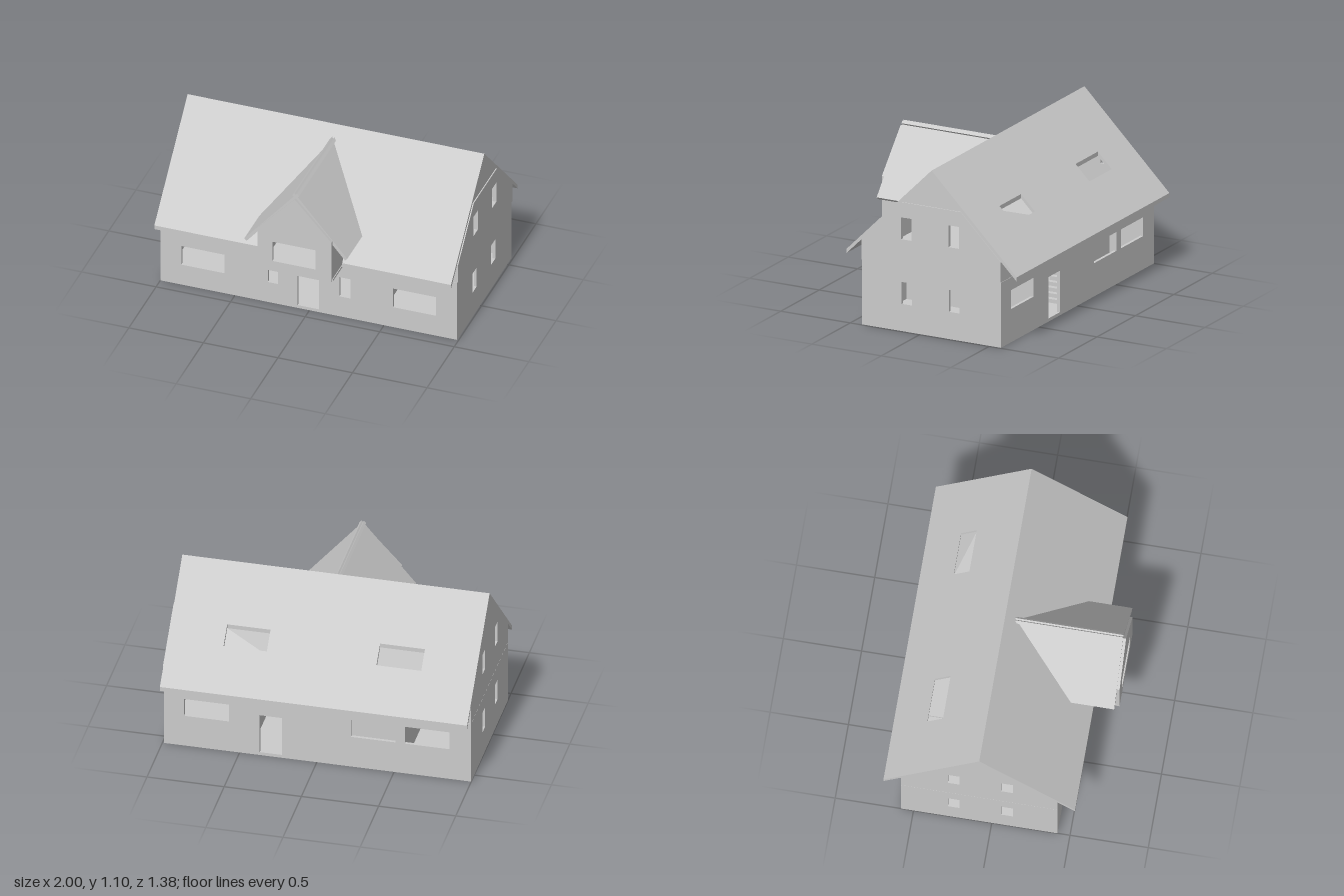
import * as THREE from 'three';

const grey = new THREE.MeshStandardMaterial({ color: 0xcccccc, flatShading: true });
const thinGrey = new THREE.MeshStandardMaterial({ color: 0xcccccc, flatShading: true, side: THREE.DoubleSide });

const T = 0.02;                                   // wall thickness
const X0 = -1, X1 = 0.99, ZF = 0.42, ZB = -0.58;  // outer walls
const RIDGE_Y = 1.095, RIDGE_Z = -0.08, ROOF_T = 0.028;

const rect = (x0, x1, y0, y1) => [[x0, y0], [x1, y0], [x1, y1], [x0, y1]];
const toPoints = (list) => list.map(([x, y]) => new THREE.Vector2(x, y));

// Flat slab: outline with holes, extruded along +z
function slab(outline, holes, depth) {
  const shape = new THREE.Shape(toPoints(outline));
  holes.forEach((h) => shape.holes.push(new THREE.Path(toPoints(h))));
  return new THREE.ExtrudeGeometry(shape, { depth, bevelEnabled: false });
}

// Move every vertex of a geometry by a rule
function remap(geometry, rule) {
  const p = geometry.attributes.position;
  for (let i = 0; i < p.count; i++) p.setXYZ(i, ...rule(p.getX(i), p.getY(i), p.getZ(i)));
  geometry.computeVertexNormals();
  return geometry;
}

export function createModel() {
  const house = new THREE.Group();
  house.name = 'house';

  function add(name, geometry, x = 0, y = 0, z = 0, material = grey) {
    const mesh = new THREE.Mesh(geometry, material);
    mesh.name = name;
    mesh.position.set(x, y, z);
    house.add(mesh);
  }
  function box(name, x0, x1, y0, y1, z0, z1) {
    add(name, new THREE.BoxGeometry(x1 - x0, y1 - y0, z1 - z0), (x0 + x1) / 2, (y0 + y1) / 2, (z0 + z1) / 2);
  }
  // Wall along x, its back at z
  const wallX = (name, outline, holes, z) => add(name, slab(outline, holes, T), 0, 0, z);
  // Wall along z, outline given as (z, y), its +x face at x
  const wallZ = (name, outline, holes, x, depth = T) =>
    add(name, slab(outline, holes, depth).rotateY(-Math.PI / 2), x);

  // Ground floor
  box('groundSlab', X0, X1, 0, T, ZB, ZF);
  wallX('frontWall', rect(X0, X1, T, 0.43), [
    rect(-0.86, -0.57, 0.15, 0.29), rect(0.56, 0.85, 0.15, 0.29),
    rect(-0.28, -0.21, 0.15, 0.295), rect(0.2, 0.275, 0.15, 0.295),
    rect(-0.08, 0.065, 0.021, 0.295),
  ], ZF - T);
  wallX('backWall', rect(X0, X1, T, 0.43), [
    rect(0.57, 0.86, 0.22, 0.345), rect(0.225, 0.37, 0.021, 0.295),
    rect(-0.51, -0.22, 0.22, 0.345), rect(-0.86, -0.57, 0.22, 0.345),
  ], ZB);
  const sideWindows = (y0, y1) => [rect(0.06, 0.135, y0, y1), rect(-0.28, -0.205, y0, y1)];
  for (const [name, x] of [['leftWall', X1], ['rightWall', X0 + T]]) {
    wallZ(name, rect(ZB + T, ZF - T, T, 0.43), sideWindows(0.18, 0.325), x);
  }

  // Inner partitions
  wallZ('rightPartition', rect(ZB + T, ZF - T, T, 0.43), [], -0.53);
  wallZ('leftPartition', rect(ZB + T, ZF - T, T, 0.43), [], 0.45);
  box('stairWall', -0.53, 0.12, T, 0.43, -0.52, -0.51);

  // Stairs climbing towards -x
  const rise = 0.025, run = 0.035, steps = 17;
  const stairs = [[0.08, T]];
  for (let i = 0; i < steps; i++) {
    const x = 0.08 - i * run, y = T + (i + 1) * rise;
    stairs.push([x, y], [x - run, y]);
  }
  stairs.push([0.08 - steps * run, T + (steps - 1) * rise], [0.08 - run, T]);
  add('stairs', slab(stairs.reverse(), [], 0.15), 0, 0, -0.5);

  // Upper floor reaching out under the dormer, with a stair opening
  const inset = 0.003;
  const floor = [
    [X0 + inset, ZB + inset], [X1 - inset, ZB + inset], [X1 - inset, ZF - inset], [0.25, ZF - inset],
    [0.25, 0.675], [-0.25, 0.675], [-0.25, ZF - inset], [X0 + inset, ZF - inset],
  ];
  add('upperFloor', slab(floor, [rect(-0.52, -0.15, -0.5, -0.35)], 0.014).rotateX(Math.PI / 2), 0, 0.445);

  // Knee walls
  const underside = (z) => RIDGE_Y - ROOF_T - Math.abs(z - RIDGE_Z);
  const kneeTop = underside(ZF);
  wallX('backKneeWall', rect(X0, X1, 0.432, kneeTop), [], ZB);
  wallX('frontKneeWallRight', rect(X0, -0.25, 0.432, kneeTop), [], ZF - T);
  wallX('frontKneeWallLeft', rect(0.25, X1, 0.432, kneeTop), [], ZF - T);

  // Gables: windowed lower part and plain top
  const topY = 0.855, half = RIDGE_Y - ROOF_T - topY;
  const gable = [[ZB, 0.432], [ZF, 0.432], [ZF, kneeTop], [RIDGE_Z + half, topY], [RIDGE_Z - half, topY], [ZB, kneeTop]];
  const peak = [[RIDGE_Z - half, topY], [RIDGE_Z + half, topY], [RIDGE_Z, topY + half]];
  wallZ('leftGable', gable, sideWindows(0.61, 0.755), 0.997, 0.027);
  wallZ('rightGable', gable, sideWindows(0.61, 0.755), X0 + T);
  wallZ('leftGablePeak', peak, [], X1);
  wallZ('rightGablePeak', peak, [], X0 + T);

  // Main roof: drawn flat as (x, distance behind ridge), then folded down at 45 degrees
  const fold = (x, e, h) => [x, RIDGE_Y - ROOF_T + h - Math.abs(e), RIDGE_Z - e];
  const eave = 0.612;
  const skylights = [rect(-0.65, -0.36, 0.29, 0.39), rect(0.35, 0.63, 0.29, 0.39)];
  add('backRoof', remap(slab(rect(X0, X1, 0, eave), skylights, ROOF_T), fold));
  const frontOutline = [
    [X0, 0], [X0, -eave], [-0.26, -eave], [-0.25, -0.365], [0, -0.1],
    [0.25, -0.365], [0.26, -eave], [X1, -eave], [X1, 0],
  ];
  add('frontRoof', remap(slab(frontOutline, [], ROOF_T), fold));

  // Triangular panel half closing one skylight
  const panel = new THREE.ShapeGeometry(new THREE.Shape(toPoints([[0.35, 0.39], [0.63, 0.29], [0.63, 0.39]])));
  add('skylightPanel', remap(panel, fold), 0, 0, 0, thinGrey);

  // Dormer front with its window
  wallX('dormerFront', [[-0.25, 0.43], [0.245, 0.43], [0.245, 0.73], [0, 1.0], [-0.25, 0.73]],
    [rect(-0.15, 0.14, 0.505, 0.65)], 0.67);

  // Dormer cheeks and roof planks, cut off where they meet the main roof
  const cheek = [[ZF - T, 0.43], [0.67, 0.43], [0.67, 0.71], [0.305, 0.71], [ZF - T, 0.6]];
  const plank = [[0.33, 0.605], [0.345, 0.62], [-0.008, 1.035], [-0.022, 1.02]];
  const toMainRoof = (x, y, z) => [x, y, z > 0.5 ? 0.672 : RIDGE_Z + RIDGE_Y - y];
  for (const [side, s] of [['Left', 1], ['Right', -1]]) {
    wallZ('dormerCheek' + side, cheek, [], s > 0 ? 0.245 : -0.23, 0.018);
    const section = plank.map(([x, y]) => [s * x, y]);
    add('dormerRoof' + side, remap(slab(section, [], 1), toMainRoof));
  }

  return house;
}
